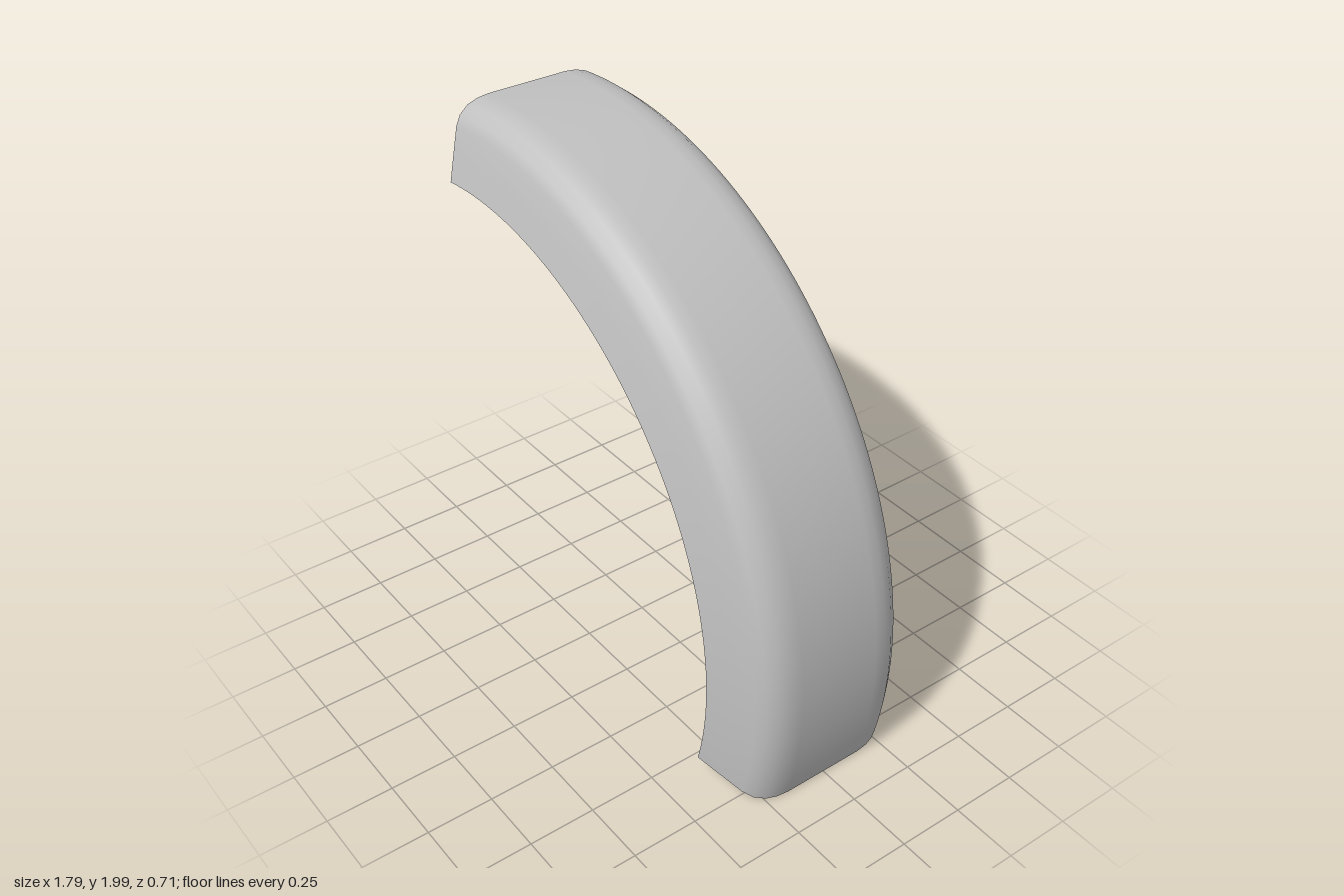
import * as THREE from 'three';

export function createModel() {
  const model = new THREE.Group();
  model.name = 'wheelArch';

  const paintedMetal = new THREE.MeshStandardMaterial({ color: 0xc0c0c0, side: THREE.DoubleSide });
  paintedMetal.name = 'grey metal';

  // Half cross-section: radius and distance from the middle, rim to crown
  const half = [[1.318, 0.353], [1.412, 0.327], [1.508, 0.3], [1.545, 0.28], [1.572, 0.245], [1.585, 0.205], [1.59, 0.16]];
  const profile = [
    ...half.map(([r, z]) => new THREE.Vector2(r, -z)),
    new THREE.Vector2(1.59, 0),
    ...half.slice().reverse().map(([r, z]) => new THREE.Vector2(r, z)),
  ];

  // Sweep the open shell about a crosswise axis
  const start = THREE.MathUtils.degToRad(75.3);
  const sweep = THREE.MathUtils.degToRad(111.75);
  const shell = new THREE.LatheGeometry(profile, 64, start, sweep);
  shell.rotateX(Math.PI / 2);
  shell.translate(-0.702, 0.41, 0);

  const fender = new THREE.Mesh(shell, paintedMetal);
  fender.name = 'fenderShell';
  model.add(fender);
  return model;
}
